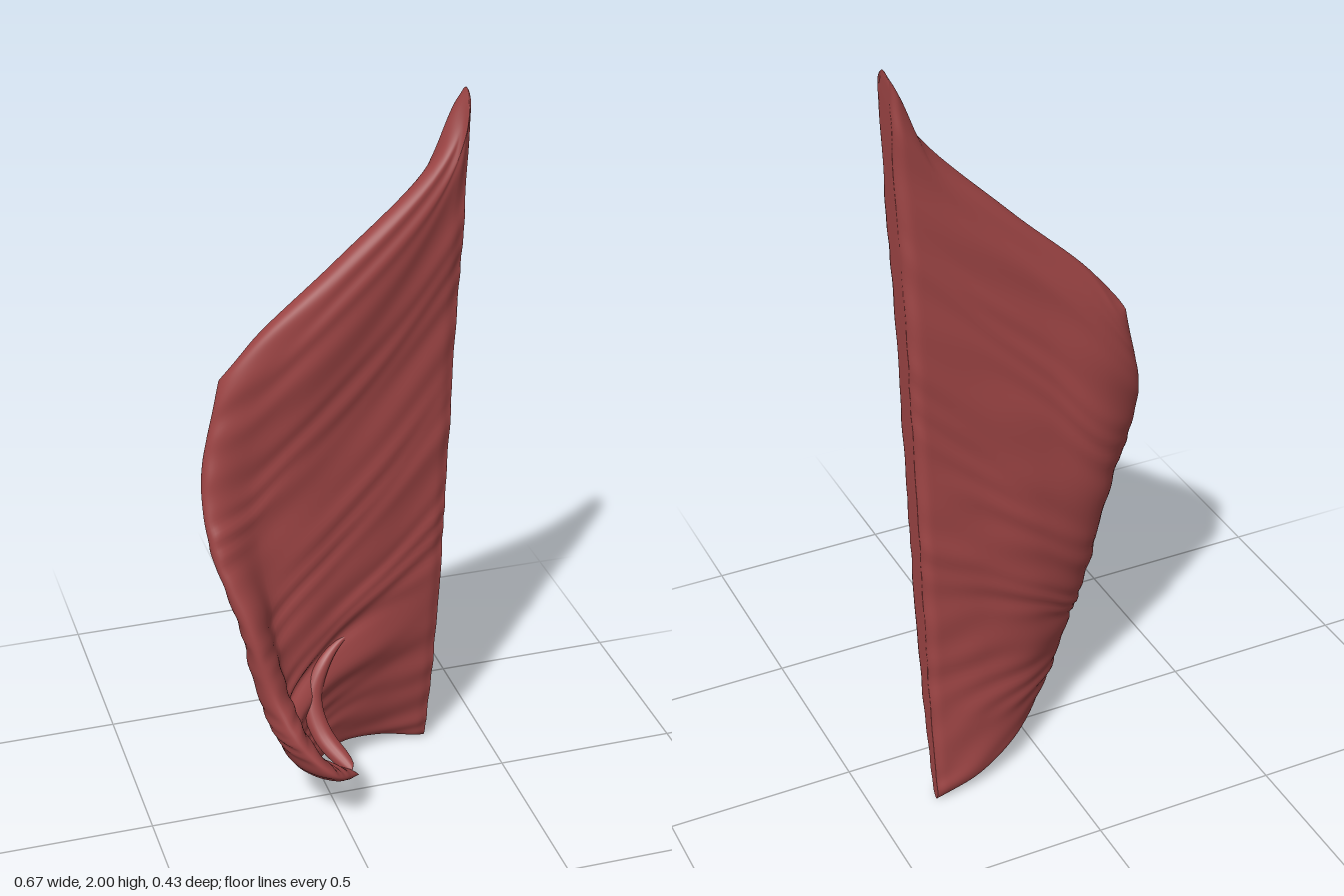
import * as THREE from 'three';

const NU = 48, NV = 160;
const { smoothstep, lerp } = THREE.MathUtils;
const bump = (x, centre, width) => Math.exp(-(((x - centre) / width) ** 2));

// Fibre rows from the bottom up; each runs from the flat inner edge, across the sheet,
// round the outer bend and forward to the free rim.
const rows = [
  [[.333, 0, -.2], [.2, .035, -.19], [.06, .08, -.12], [-.035, .108, .005], [.045, .135, .115]],
  [[.333, .22, -.16], [.18, .23, -.15], [.02, .22, -.095], [-.11, .2, .04], [-.045, .21, .21]],
  [[.333, .54, -.12], [.17, .49, -.11], [0, .4, -.085], [-.14, .31, .03], [-.13, .3, .19]],
  [[.333, .82, -.095], [.17, .69, -.1], [-.01, .55, -.085], [-.16, .43, 0], [-.195, .44, .13]],
  [[.333, 1.1, -.07], [.17, .93, -.075], [-.01, .76, -.08], [-.18, .62, -.035], [-.245, .62, .1]],
  [[.333, 1.4, -.045], [.15, 1.21, -.055], [-.04, 1.02, -.065], [-.2, .86, -.06], [-.318, .83, .03]],
  [[.333, 1.7, -.005], [.15, 1.46, -.02], [-.05, 1.25, -.035], [-.2, 1.09, -.06], [-.33, 1.01, -.03]],
  [[.333, 2, .015], [.27, 1.845, .022], [.02, 1.58, -.01], [-.18, 1.39, -.035], [-.27, 1.27, -.068]],
];
const curve = pts => new THREE.CatmullRomCurve3(pts);
const columns = rows[0].map((_, j) => curve(rows.map(r => new THREE.Vector3(...r[j]))));

// Half thickness: rounded at the top, bottom and outer rim, fuller along the top border and lower rim
function halfThickness(u, v) {
  const ends = Math.sqrt(Math.max(0, 1 - Math.abs(2 * v - 1) ** 26));
  const rim = Math.sqrt(Math.max(0, 1 - u ** 18));
  const body = lerp(.022, .04, smoothstep(v, 0, .45)) * (1 - .15 * u);
  const cord = .009 * bump(u, .9, .07) * bump(v, .35, .22);
  const border = .008 * bump(v, .93, .08) * bump(u, .55, .35);
  const cut = .75 + .25 * smoothstep(u, 0, .05);
  return (body + cord + border) * ends * rim * cut;
}

// Fine, uneven fibre ridges that drift across the rows
function fibres(u, v, phase) {
  const s = v + .03 * Math.sin(u * 4 + phase) + .012 * Math.sin(v * 31 + u * 3);
  const patch = .5 + .5 * Math.sin(v * 19 + u * 7 + phase);
  return .0024 * patch * Math.sin(s * 118 + phase + 3 * u)
    + .002 * (1 - patch) * Math.sin(s * 83 - 4 * u + phase * 2)
    + .0015 * Math.sin(s * 47 + 6 * u);
}

// Crease that separates the lower bundle from the main sheet
function crease(u, v) {
  const depth = smoothstep(u, 0, .4) * (1 - smoothstep(u, .75, .95));
  return (bump(v, .245, .035) * .014 - bump(v, .31, .022) * .014) * depth;
}

function sheetGeometry() {
  const mid = [], vs = [], us = [];
  for (let j = 0; j <= NU; j++) us.push(.5 - .5 * Math.cos(Math.PI * j / NU));
  for (let i = 0; i <= NV; i++) {
    const v = .5 - .5 * Math.cos(Math.PI * i / NV);
    const row = curve(columns.map(c => c.getPoint(v)));
    vs.push(v);
    mid.push(us.map(u => row.getPoint(u)));
  }

  const normalAt = (i, j) => {
    const du = mid[i][Math.min(j + 1, NU)].clone().sub(mid[i][Math.max(j - 1, 0)]);
    const dv = mid[Math.min(i + 1, NV)][j].clone().sub(mid[Math.max(i - 1, 0)][j]);
    return dv.cross(du).normalize();
  };

  // Closed ring per row: front from inner edge to rim, then back to the inner edge
  const position = [], index = [];
  const loop = 2 * NU + 1;
  vs.forEach((v, i) => {
    const front = [], back = [];
    us.forEach((u, j) => {
      const n = normalAt(i, j), h = halfThickness(u, v);
      const k = Math.min(1, h / .02);
      const f = mid[i][j].clone().addScaledVector(n, h + k * (fibres(u, v, 0) + crease(u, v)));
      const b = mid[i][j].clone().addScaledVector(n, -h - k * fibres(u, v, 2));
      if (j === 0) f.x = b.x = .333;
      front.push(f);
      back.push(b);
    });
    [...front, ...back.slice(0, NU).reverse()].forEach(p => position.push(p.x, p.y, p.z));
  });
  for (let i = 0; i < NV; i++) {
    for (let j = 0; j < loop; j++) {
      const a = i * loop + j, b = i * loop + (j + 1) % loop;
      index.push(a, a + loop, b, b, a + loop, b + loop);
    }
  }

  const geometry = new THREE.BufferGeometry();
  geometry.setAttribute('position', new THREE.Float32BufferAttribute(position, 3));
  geometry.setIndex(index);
  geometry.computeVertexNormals();
  return geometry;
}

// Raised border of the lower bundle, tapering in from the sheet and ending at the lip
function borderGeometry() {
  const path = curve([[.16, .475, -.1], [.07, .45, -.085], [0, .4, -.055], [-.045, .31, -.025],
    [-.03, .22, .025], [.03, .145, .105]].map(p => new THREE.Vector3(...p)));
  const steps = 48, sides = 16;
  const geometry = new THREE.TubeGeometry(path, steps, .028, sides);
  const position = geometry.attributes.position, p = new THREE.Vector3();
  for (let i = 0; i < position.count; i++) {
    const t = Math.floor(i / (sides + 1)) / steps;
    const size = smoothstep(t, 0, .6) * Math.sqrt(1 - t ** 14);
    p.fromBufferAttribute(position, i).lerp(path.getPointAt(t), 1 - size);
    position.setXYZ(i, p.x, p.y, p.z);
  }
  return geometry;
}

export function createModel() {
  const group = new THREE.Group();
  group.name = 'chestMuscle';
  const material = new THREE.MeshStandardMaterial({ color: 0x9c4444, side: THREE.DoubleSide });
  const add = (name, geometry) => {
    const mesh = new THREE.Mesh(geometry, material);
    mesh.name = name;
    group.add(mesh);
  };
  add('muscleSheet', sheetGeometry());
  add('lowerBundleBorder', borderGeometry());
  return group;
}
